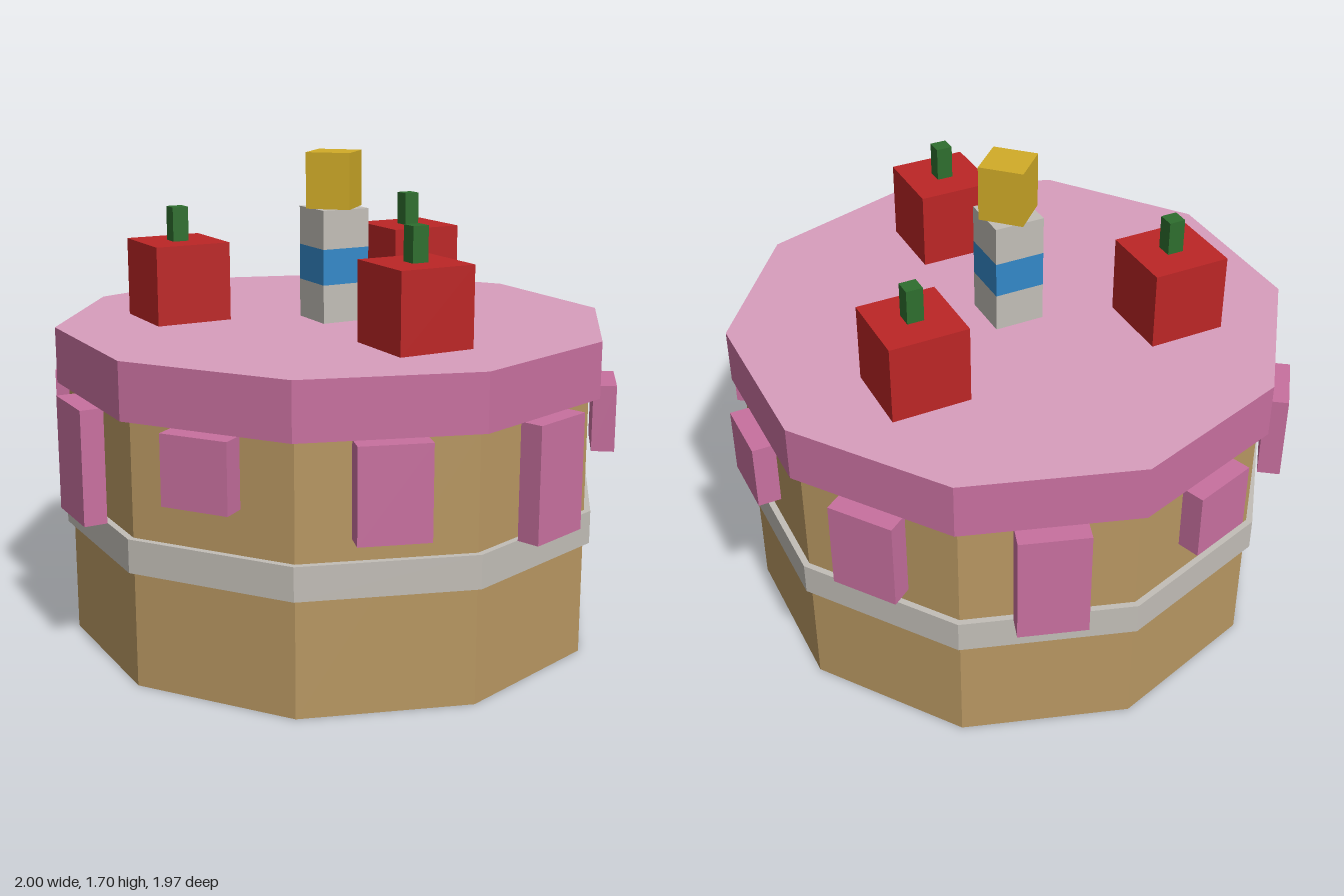
import * as THREE from 'three';

function paint(name, color) {
  const m = new THREE.MeshStandardMaterial({ color });
  m.name = name;
  return m;
}

export function createModel() {
  const sponge = paint('sponge', 0xb89762);
  const crust = paint('dark sponge', 0x8c734a);
  const cream = paint('cream', 0xc2beb7);
  const icing = paint('icing', 0xc8709f);
  const icingUnder = paint('dark icing', 0x8f4d70);
  const icingTop = paint('pale icing', 0xd89dbd);
  const red = paint('berry red', 0xbc2626);
  const green = paint('stem green', 0x2e6e2e);
  const blue = paint('stripe blue', 0x3388c8);
  const gold = paint('flame gold', 0xd1ac28);

  const cake = new THREE.Group();
  cake.name = 'cake';

  function add(parent, name, geometry, material, x, y, z) {
    const mesh = new THREE.Mesh(geometry, material);
    mesh.name = name;
    mesh.position.set(x, y, z);
    parent.add(mesh);
    return mesh;
  }

  // Ten-sided layer from y0 to y1, with flat facets
  function layer(name, radius, y0, y1, material) {
    const geo = new THREE.CylinderGeometry(radius, radius, y1 - y0, 10).toNonIndexed();
    geo.computeVertexNormals();
    return add(cake, name, geo, material, 0, (y0 + y1) / 2, 0);
  }

  // Box standing on y0
  function block(parent, name, width, y0, y1, depth, material, x = 0, z = 0) {
    const geo = new THREE.BoxGeometry(width, y1 - y0, depth);
    return add(parent, name, geo, material, x, (y0 + y1) / 2, z);
  }

  // Cake body, cream band and icing slab (materials: side, top, underside)
  layer('spongeBase', 0.942, 0, 0.91, [sponge, sponge, crust]);
  layer('creamBand', 0.965, 0.4, 0.515, cream);
  layer('icingSlab', 0.982, 0.91, 1.105, [icing, icingTop, icingUnder]);

  // Icing drips, one on the middle of each facet, with darker undersides
  const dripPaint = [icing, icing, icing, icingUnder, icing, icing];
  const dripBottoms = [0.515, 0.675, 0.675, 0.595, 0.515, 0.675, 0.595, 0.515, 0.675, 0.595];
  dripBottoms.forEach((bottom, i) => {
    const angle = (i + 0.5) * Math.PI / 5;
    const drip = block(cake, 'icingDrip', 0.235, bottom, 0.91, 0.08, dripPaint,
      Math.sin(angle) * 0.96, Math.cos(angle) * 0.96);
    drip.rotation.y = angle;
  });

  // Berries with stems
  for (const [x, z] of [[-0.477, -0.28], [0.477, -0.28], [0, 0.55]]) {
    const berry = new THREE.Group();
    berry.name = 'berry';
    berry.position.set(x, 0, z);
    block(berry, 'berryBody', 0.275, 1.105, 1.38, 0.275, red);
    block(berry, 'berryStem', 0.058, 1.38, 1.5, 0.058, green);
    cake.add(berry);
  }

  // Candle with a stripe and a turned flame
  const candle = new THREE.Group();
  candle.name = 'candle';
  block(candle, 'candleLower', 0.178, 1.105, 1.24, 0.178, cream);
  block(candle, 'candleStripe', 0.178, 1.24, 1.365, 0.178, blue);
  block(candle, 'candleUpper', 0.178, 1.365, 1.5, 0.178, cream);
  block(candle, 'flame', 0.157, 1.5, 1.695, 0.157, gold).rotation.y = Math.PI / 4;
  cake.add(candle);

  return cake;
}
